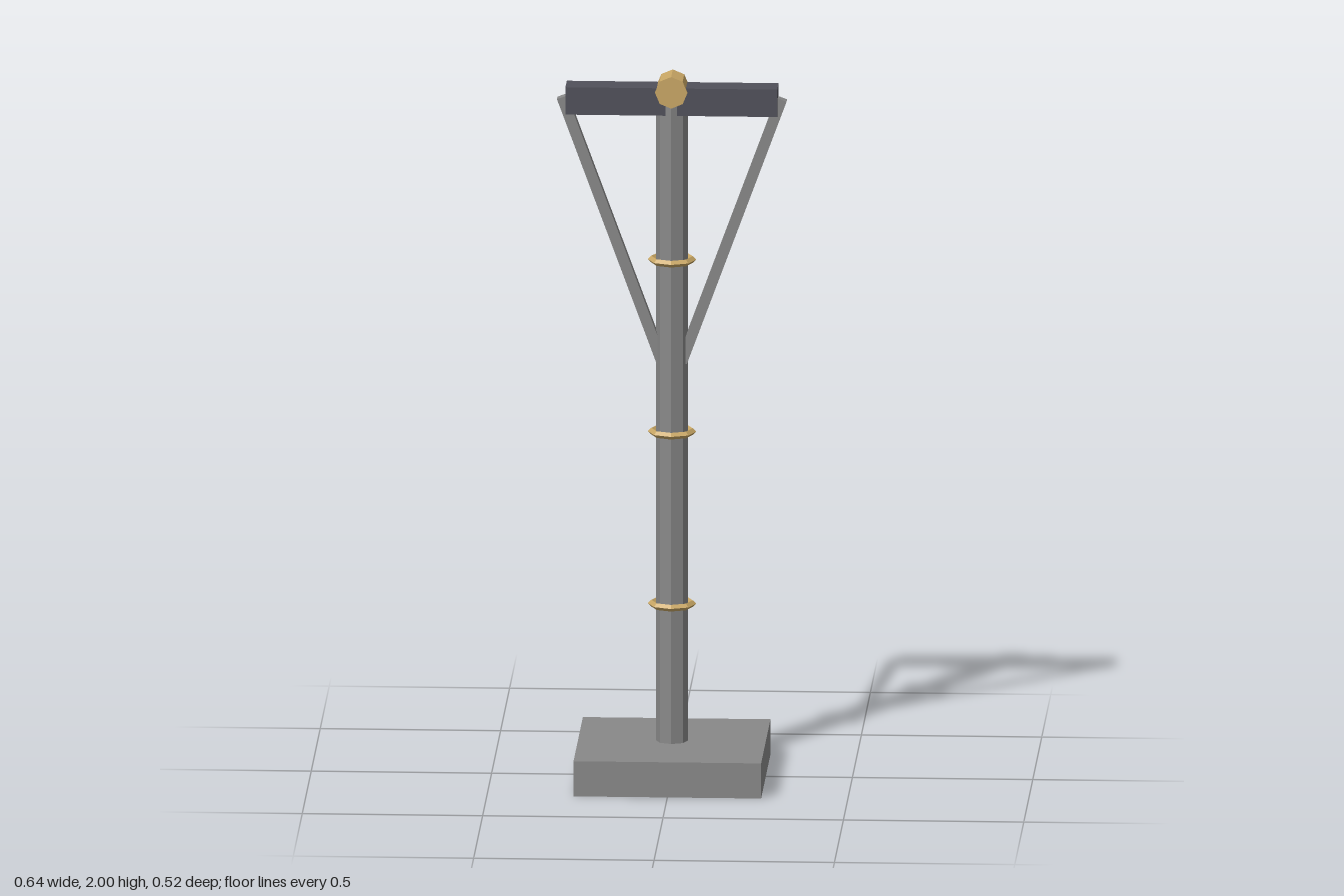
import * as THREE from 'three';

export function createModel() {
  const mat = (name, color) => {
    const m = new THREE.MeshStandardMaterial({ color, flatShading: true });
    m.name = name;
    return m;
  };
  const stone = mat('grey stone', 0x888888);
  const iron = mat('dark iron', 0x50505a);
  const brass = mat('brass', 0xc9a765);

  const model = new THREE.Group();
  model.name = 'signPost';
  const add = (name, geometry, material, x, y, z) => {
    const mesh = new THREE.Mesh(geometry, material);
    mesh.name = name;
    mesh.position.set(x, y, z);
    model.add(mesh);
    return mesh;
  };

  // Square foot and octagonal post
  add('base', new THREE.BoxGeometry(0.52, 0.1, 0.52), stone, 0, 0.05, 0);
  add('post', new THREE.CylinderGeometry(0.045, 0.045, 1.84, 8), stone, 0, 1.02, 0);

  // Crossbeam
  add('crossbeam', new THREE.BoxGeometry(0.587, 0.078, 0.077), iron, 0, 1.927, 0);

  // Octagonal boss lying front to back over the beam
  const boss = add('topBoss', new THREE.CylinderGeometry(0.045, 0.045, 0.09, 8), brass, 0, 1.955, 0);
  boss.rotation.x = Math.PI / 2;

  // Collars around the post
  for (const y of [0.49, 0.98, 1.47]) {
    const collar = add('collar', new THREE.TorusGeometry(0.0575, 0.0095, 4, 8), brass, 0, y, 0);
    collar.rotation.x = Math.PI / 2;
  }

  // Slanted braces from the post to the beam ends
  for (const side of [1, -1]) {
    const brace = add(side > 0 ? 'leftBrace' : 'rightBrace',
      new THREE.BoxGeometry(0.03, 0.8, 0.03), stone, side * 0.166, 1.556, 0);
    brace.rotation.z = -side * 0.353;
  }

  return model;
}
